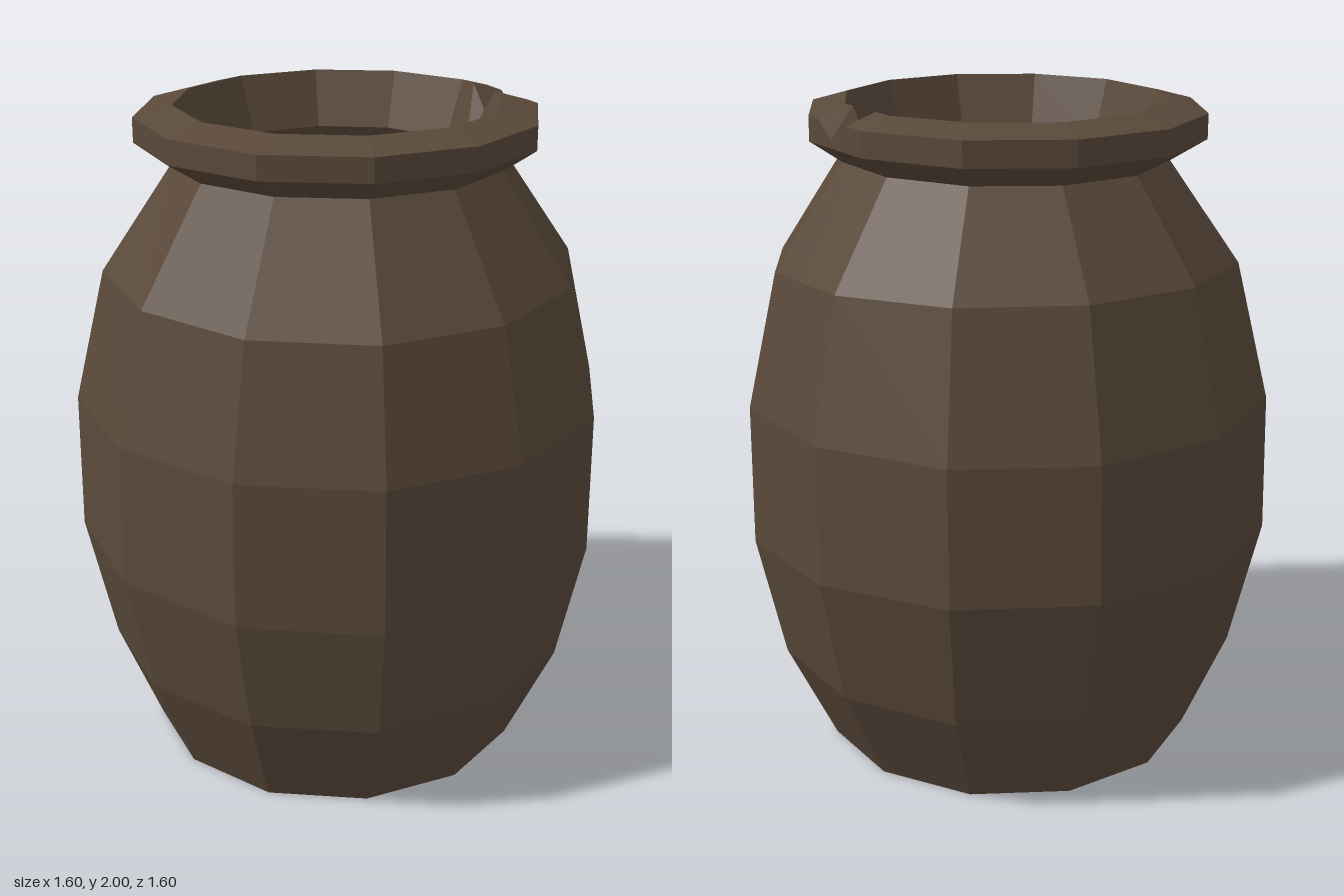
import * as THREE from 'three';

const clay = new THREE.MeshStandardMaterial({ color: 0x5a493a, flatShading: true });
clay.name = 'brownClay';

const SIDES = 12;
// Columns around the pot, as fractions of a side; the extra three shape the chip in the rim
const COLUMNS = [...Array(SIDES).keys(), SIDES - 1 + 0.29, SIDES - 1 + 0.57, SIDES - 1 + 0.81];

// Ring: r radius, y height, cx / cz centre offset, tilt = height added at the back, chip = depth of the notch
function ringPoints({ r, y, cx = 0, cz = 0, tilt = 0, chip = 0 }) {
  const corner = (k) => {
    const a = (k / SIDES) * Math.PI * 2;
    const s = Math.sin(a);
    return new THREE.Vector3(cx + r * Math.cos(a), y + tilt * (1 - s) / 2, cz + r * s);
  };
  return COLUMNS.map((c, i) => {
    const k = Math.floor(c);
    const p = corner(k).lerp(corner(k + 1), c - k);
    if (i === SIDES + 1) p.y -= chip;
    return p;
  });
}

// Skin a list of rings; the profile runs up the outside and down the inside
function loft(name, rings) {
  const pts = rings.map(ringPoints);
  const pos = [];
  const tri = (...v) => v.forEach((p) => pos.push(p.x, p.y, p.z));
  const n = COLUMNS.length;
  for (let i = 0; i < rings.length - 1; i++) {
    for (let j = 0; j < n; j++) {
      const k = (j + 1) % n;
      const [a, b, c, d] = [pts[i][j], pts[i + 1][j], pts[i + 1][k], pts[i][k]];
      if (rings[i + 1].r > 0) tri(a, b, c);
      if (rings[i].r > 0) tri(a, c, d);
    }
  }
  const g = new THREE.BufferGeometry();
  g.setAttribute('position', new THREE.Float32BufferAttribute(pos, 3));
  g.computeVertexNormals();
  const mesh = new THREE.Mesh(g, clay);
  mesh.name = name;
  return mesh;
}

export function createModel() {
  const group = new THREE.Group();
  group.name = 'clayPot';

  const neck = { r: 0.49, y: 1.835, cz: 0.02, tilt: -0.02 };
  const lip = { r: 0.48, y: 2.0, cz: 0.012, tilt: -0.015, chip: 0.065 };

  // Faceted belly with its flat base
  group.add(loft('body', [
    { r: 0, y: 0, cx: -0.01, cz: 0.02 },
    { r: 0.575, y: 0, cx: -0.01, cz: 0.02 },
    { r: 0.715, y: 0.32, cz: 0.015, tilt: -0.01 },
    { r: 0.8, y: 0.68, tilt: 0.04 },
    { r: 0.795, y: 1.12, cz: 0.007 },
    { r: 0.7, y: 1.5, cz: 0.02, tilt: 0.035 },
    neck,
  ]));

  // Flared rim with a chipped notch
  group.add(loft('rim', [
    neck,
    { r: 0.59, y: 1.9, cx: -0.004, cz: 0.014, tilt: -0.02 },
    { r: 0.59, y: 1.97, cx: -0.004, cz: 0.014, tilt: -0.015, chip: 0.05 },
    lip,
  ]));

  // Hollow inside, narrowing at the neck and ending in a floor
  group.add(loft('interior', [
    lip,
    { r: 0.42, y: 1.82, cz: 0.012 },
    { r: 0.64, y: 1.48, cz: 0.012 },
    { r: 0.74, y: 1.12 },
    { r: 0.74, y: 0.68 },
    { r: 0.65, y: 0.33, cz: 0.012 },
    { r: 0.53, y: 0.06, cz: 0.02 },
    { r: 0, y: 0.06, cz: 0.02 },
  ]));

  return group;
}
